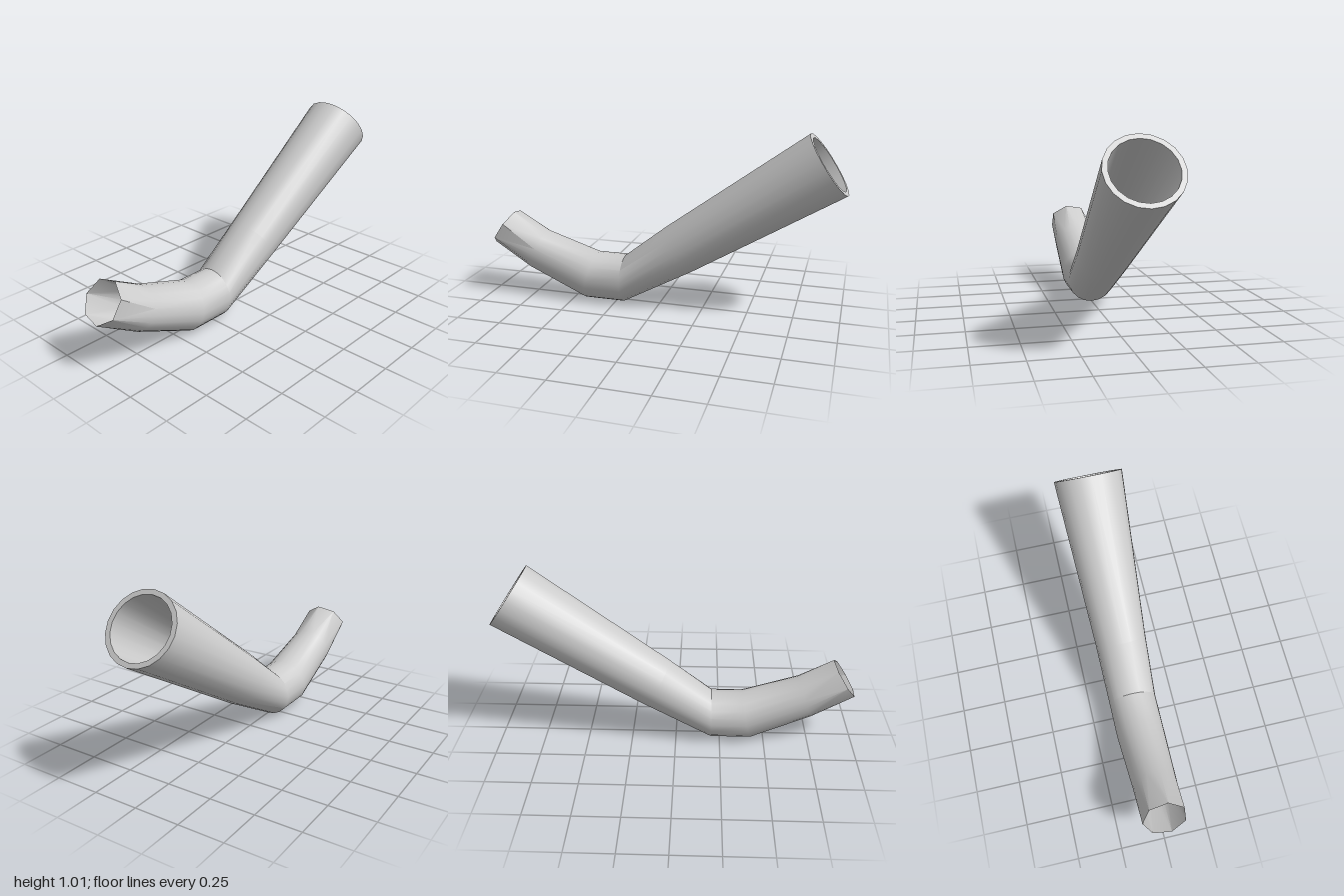
import * as THREE from 'three';
import { toCreasedNormals } from 'three/addons/utils/BufferGeometryUtils.js';

const SIDES = 20;
const END_SIDES = 7;

// Rings along the pipe: top x, top y, bottom x, bottom y, half width in z
const RINGS = [
  [-0.87, 0.48, -1.0, 0.285, 0.122],
  [-0.68, 0.37, -0.77, 0.15, 0.123],
  [-0.37, 0.27, -0.43, 0.0, 0.137],
  [-0.2, 0.27, -0.2, 0.0, 0.137],
  [0.04, 0.46, 0.2, 0.22, 0.147],
  [0.79, 1.01, 1.0, 0.705, 0.19],
];

// One cross-section; the narrow end is snapped to a seven-sided opening
function ringPoints(index, scale) {
  const [tx, ty, bx, by, w] = RINGS[index];
  const points = [];
  for (let j = 0; j < SIDES; j++) {
    let t = (j / SIDES) * Math.PI * 2;
    if (index === 0) {
      const step = (Math.PI * 2) / END_SIDES;
      t = Math.round(t / step) * step;
    }
    const s = (Math.sin(t) * scale) / 2;
    points.push([
      (tx + bx) / 2 + (tx - bx) * s,
      (ty + by) / 2 + (ty - by) * s,
      -Math.cos(t) * w * scale,
    ]);
  }
  return points;
}

// Join successive cross-sections with quads
function loft(rings) {
  const indices = [];
  for (let i = 0; i < rings.length - 1; i++) {
    for (let j = 0; j < SIDES; j++) {
      const k = (j + 1) % SIDES;
      const a = i * SIDES + j, b = i * SIDES + k;
      const c = a + SIDES, d = b + SIDES;
      indices.push(a, b, c, b, d, c);
    }
  }
  const geometry = new THREE.BufferGeometry();
  geometry.setAttribute('position', new THREE.Float32BufferAttribute(rings.flat(2), 3));
  geometry.setIndex(indices);
  return toCreasedNormals(geometry, 0.45);
}

export function createModel() {
  const group = new THREE.Group();
  group.name = 'bentPipe';
  const material = new THREE.MeshStandardMaterial({ color: 0xcccccc, side: THREE.DoubleSide });
  const last = RINGS.length - 1;
  const outer = RINGS.map((_, i) => ringPoints(i, 1));
  // The bore thins to a sharp edge at the narrow end
  const inner = RINGS.map((_, i) => ringPoints(i, i === 0 ? 0.995 : 0.86));

  const parts = {
    outerWall: outer,
    wideRim: [outer[last], inner[last]],
    bore: inner.slice().reverse(),
  };
  for (const [name, rings] of Object.entries(parts)) {
    const mesh = new THREE.Mesh(loft(rings), material);
    mesh.name = name;
    group.add(mesh);
  }
  return group;
}
